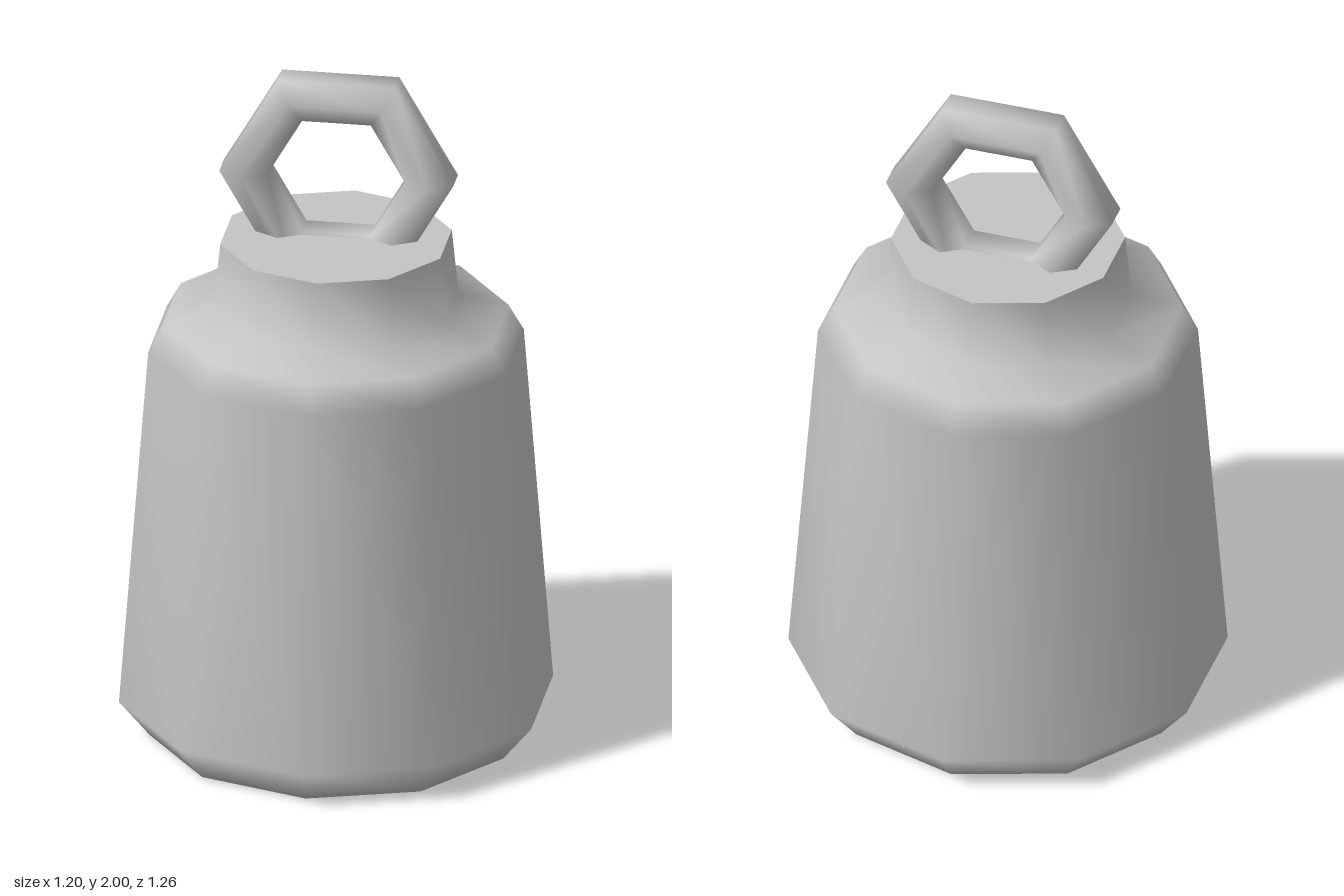
import * as THREE from 'three';
import { mergeVertices } from 'three/addons/utils/BufferGeometryUtils.js';

// Revolve a profile, then weld its seams so the shading is smooth all round
function smoothLathe(points, sides, phiStart = 0) {
  const profile = points.map(([r, y]) => new THREE.Vector2(r, y));
  const geometry = new THREE.LatheGeometry(profile, sides, phiStart);
  geometry.deleteAttribute('uv');
  geometry.deleteAttribute('normal');
  const welded = mergeVertices(geometry, 1e-4);
  welded.computeVertexNormals();
  return welded;
}

export function createModel() {
  const group = new THREE.Group();
  const metal = new THREE.MeshStandardMaterial({ color: 0xc4c4c4 });
  metal.name = 'grey metal';

  const add = (name, geometry) => {
    const mesh = new THREE.Mesh(geometry, metal);
    mesh.name = name;
    group.add(mesh);
    return mesh;
  };

  // Ten-sided weight with bevelled foot, sloping shoulder and neck
  add('body', smoothLathe([
    [0, 0], [0.54, 0], [0.63, 0.11], [0.545, 1.2],
    [0.5, 1.28], [0.356, 1.325], [0.336, 1.525],
  ], 10));

  // Flat neck top with a hard rim
  const top = add('neckTop', new THREE.CircleGeometry(0.336, 10, Math.PI / 2));
  top.rotation.x = -Math.PI / 2;
  top.position.y = 1.525;

  // Hexagonal lifting ring with a six-sided section, sunk into the neck
  const section = [];
  for (let i = 0; i <= 6; i++) {
    const a = Math.PI / 6 + (i * Math.PI) / 3;
    section.push([0.27 + 0.081 * Math.cos(a), 0.081 * Math.sin(a)]);
  }
  const ring = add('liftingRing', smoothLathe(section, 6, Math.PI / 2));
  ring.rotation.x = Math.PI / 2;
  ring.position.set(0, 1.706, -0.046);

  return group;
}
